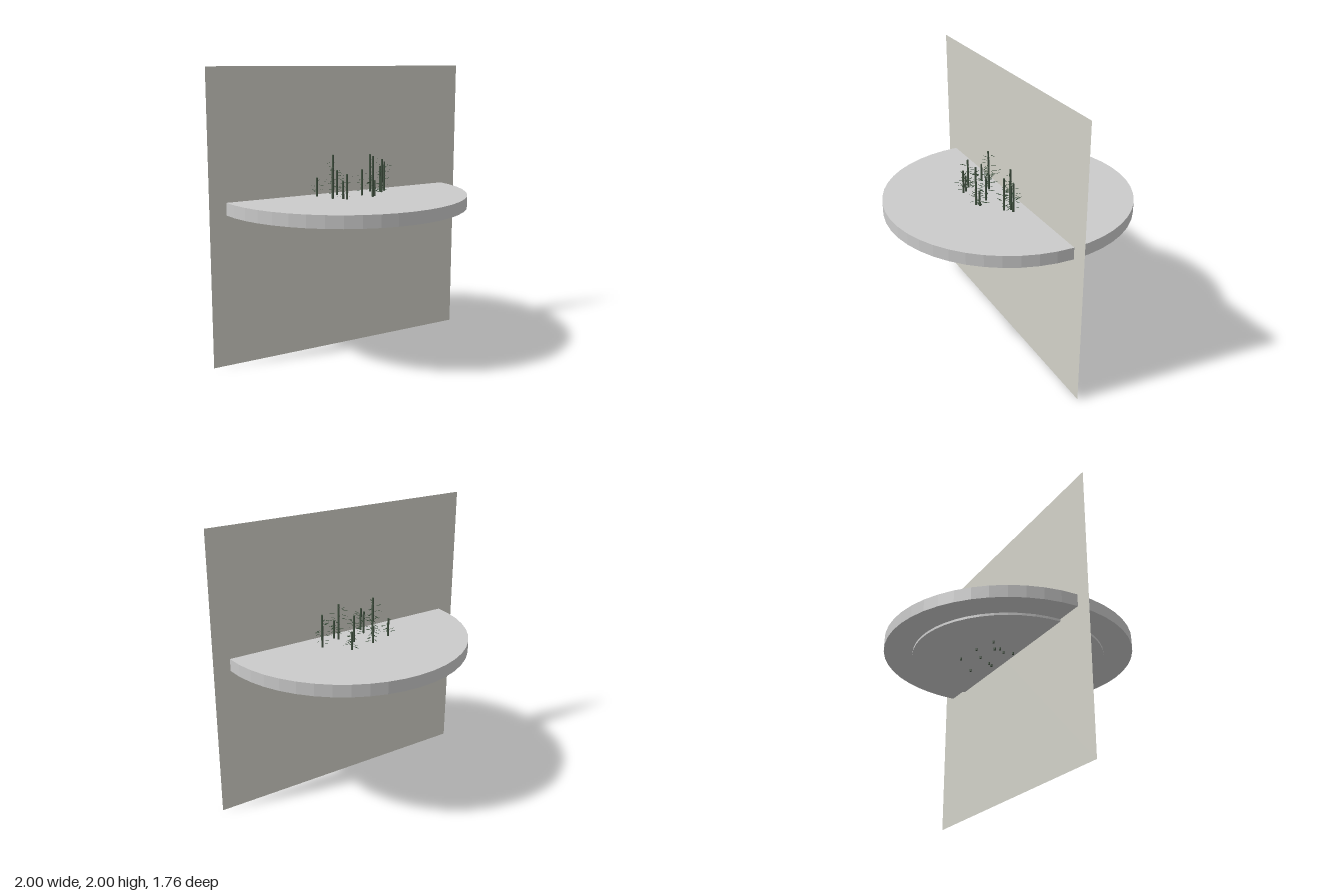
import * as THREE from 'three';

const mat = (color, extra = {}) => new THREE.MeshStandardMaterial({ color, ...extra });

function add(parent, name, geometry, material, x = 0, y = 0, z = 0) {
  const mesh = new THREE.Mesh(geometry, material);
  mesh.name = name;
  mesh.position.set(x, y, z);
  parent.add(mesh);
  return mesh;
}

// Small seeded generator for leaf placement
function seeded(seed) {
  return () => {
    seed = (seed * 16807) % 2147483647;
    return seed / 2147483647;
  };
}

// Stalks: x, z, top height
const STALKS = [
  [-0.25, 0.085, 1.25], [-0.2, 0.215, 1.33], [-0.145, 0.26, 1.24], [-0.125, 0.09, 1.4],
  [-0.1, 0.1, 1.29], [-0.13, 0.285, 1.29], [0.045, 0.195, 1.3], [0.075, 0.285, 1.4],
  [0.1, 0.27, 1.23], [0.185, 0.08, 1.385], [0.235, 0.155, 1.355], [0.25, 0.11, 1.3],
  [0.285, 0.11, 1.33],
  [-0.22, -0.24, 1.25], [-0.06, -0.285, 1.24], [0.13, -0.31, 1.25], [0.04, -0.2, 1.31],
  [0.27, -0.16, 1.35], [0.12, -0.07, 1.25], [0.1, -0.1, 1.375], [-0.13, -0.18, 1.4],
  [-0.11, -0.1, 1.28], [-0.13, -0.035, 1.28], [-0.15, -0.15, 1.34],
];

// Narrow pointed blade lying flat, growing along +x
function leafGeometry() {
  const s = new THREE.Shape();
  s.moveTo(0, 0);
  s.lineTo(0.018, 0.0045);
  s.lineTo(0.046, 0.001);
  s.lineTo(0.046, -0.001);
  s.lineTo(0.018, -0.0045);
  return new THREE.ShapeGeometry(s).rotateX(-Math.PI / 2);
}

export function createModel() {
  const model = new THREE.Group();
  model.name = 'plantedDisc';
  const stone = mat(0xcccccc, { flatShading: true });
  const panelMat = mat(0xd2d1c8, { side: THREE.DoubleSide });
  const stalkMat = mat(0x455544);
  const leafMat = mat(0x2f4230, { side: THREE.DoubleSide });

  // Upright panel and the stepped round slab
  add(model, 'uprightPanel', new THREE.PlaneGeometry(2, 2), panelMat, 0, 1, 0);
  add(model, 'slab', new THREE.CylinderGeometry(0.88, 0.88, 0.085, 48), stone, 0, 1.0775, 0);
  add(model, 'slabFoot', new THREE.CylinderGeometry(0.68, 0.68, 0.02, 48), stone, 0, 1.028, 0);

  // Bamboo stalks, each with a fan of leaves up its height
  const leaf = leafGeometry();
  const rand = seeded(4217);
  STALKS.forEach(([x, z, top]) => {
    const plant = new THREE.Group();
    plant.name = 'bamboo';
    plant.position.set(x, 0, z);
    model.add(plant);
    const h = top - 1;
    add(plant, 'stalk', new THREE.CylinderGeometry(0.007, 0.008, h, 8), stalkMat, 0, 1 + h / 2, 0);

    // Joint rings
    for (let y = 1.17; y < top - 0.02; y += 0.06) {
      add(plant, 'joint', new THREE.CylinderGeometry(0.0088, 0.0088, 0.004, 8), stalkMat, 0, y, 0);
    }

    const facing = rand() * Math.PI * 2;
    const count = 13;
    for (let i = 0; i < count; i++) {
      const angle = facing + (rand() - 0.5) * 4.6;
      const reach = 0.008 + rand() * 0.016;
      const y = 1.14 + (top - 1.16) * ((i + rand()) / count);
      const blade = add(plant, 'leaf', leaf, leafMat,
        Math.cos(angle) * reach, y, -Math.sin(angle) * reach);
      blade.rotation.set((rand() - 0.5) * 0.5, angle, (rand() - 0.5) * 0.3, 'YXZ');
      blade.scale.setScalar(0.75 + rand() * 0.4);
    }
  });
  return model;
}
